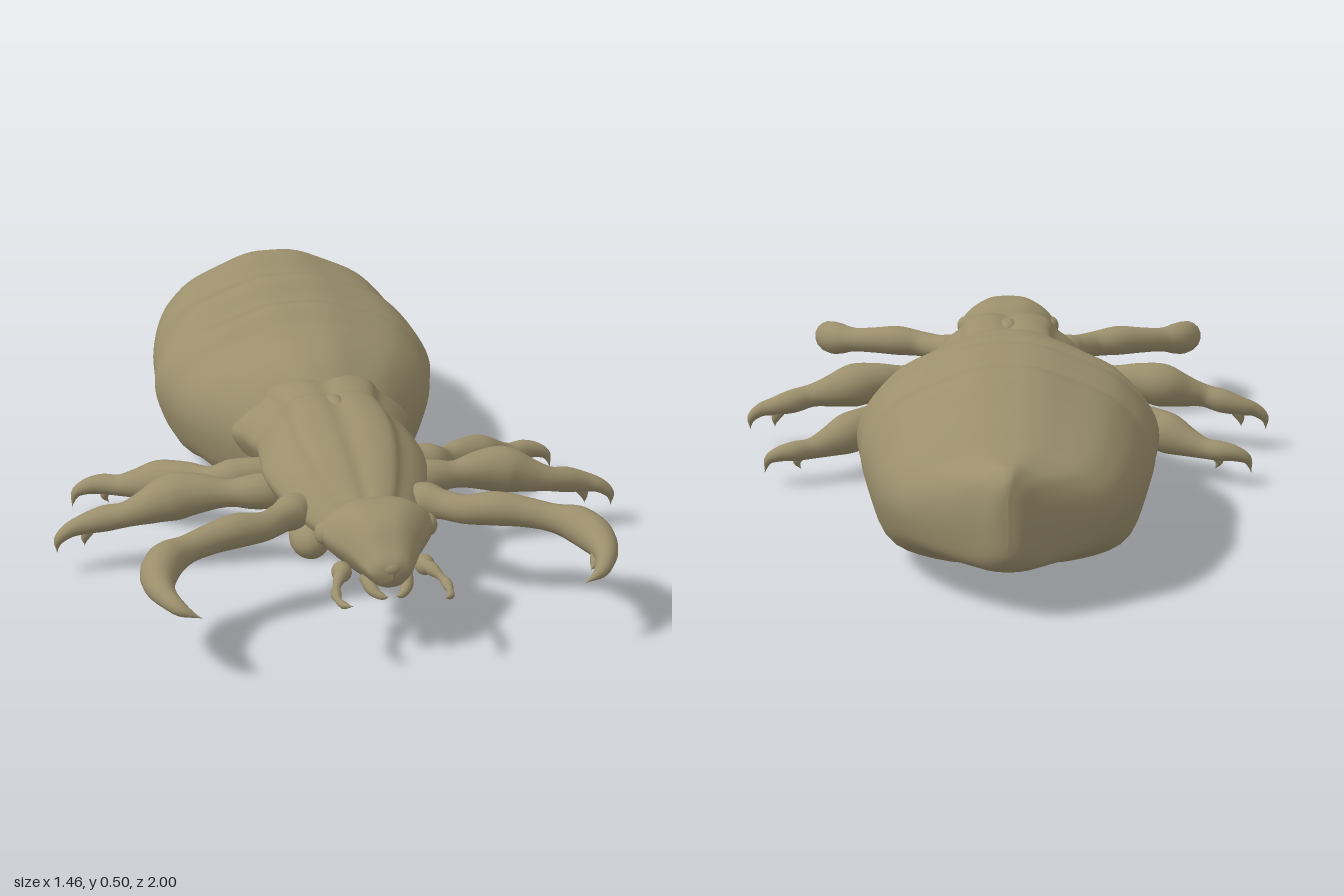
import * as THREE from 'three';
import { mergeVertices } from 'three/addons/utils/BufferGeometryUtils.js';

const chitin = new THREE.MeshStandardMaterial({ color: 0x9b8f6c });
chitin.name = 'olive chitin';

// Smooth value between rows of numbers (Catmull-Rom)
function spline(rows, t, k) {
  const last = rows.length - 1;
  const i = Math.min(Math.floor(t), last - 1);
  const f = t - i;
  const p = (n) => rows[Math.max(0, Math.min(last, n))][k];
  const a = p(i - 1), b = p(i), c = p(i + 1), d = p(i + 2);
  return b + 0.5 * f * (c - a + f * (2 * a - 5 * b + 4 * c - d + f * (3 * (b - c) + d - a)));
}

// Body segment: rows of [z, half width, bottom, top], half profile from bottom to top
function loft(name, rows, half, steps = 6, around = 72) {
  const outline = half.concat(half.slice(1, -1).reverse().map(([x, y]) => [-x, y]));
  const ring = new THREE.CatmullRomCurve3(outline.map(([x, y]) => new THREE.Vector3(x, y, 0)), true)
    .getPoints(around).slice(0, around);
  const count = (rows.length - 1) * steps;
  const position = [], index = [];
  for (let i = 0; i <= count; i++) {
    const [z, w, lo, hi] = [0, 1, 2, 3].map((k) => spline(rows, i / steps, k));
    for (const p of ring) {
      position.push(p.x * Math.max(w, 0), (lo + hi) / 2 + p.y * (hi - lo) / 2, z);
    }
  }
  for (let i = 0; i < count; i++) {
    for (let j = 0; j < around; j++) {
      const a = i * around + j, b = i * around + (j + 1) % around;
      index.push(a, b, a + around, b, b + around, a + around);
    }
  }
  const g = new THREE.BufferGeometry();
  g.setAttribute('position', new THREE.Float32BufferAttribute(position, 3));
  g.setIndex(index);
  g.computeVertexNormals();
  return named(name, g);
}

// Limb of varying thickness: points of [x, y, z, radius]
function limb(name, points, side, sides = 16) {
  const curve = new THREE.CatmullRomCurve3(points.map(([x, y, z]) => new THREE.Vector3(x * side, y, z)));
  const segments = points.length * 6;
  let g = new THREE.TubeGeometry(curve, segments, 1, sides);
  const pos = g.attributes.position, v = new THREE.Vector3();
  for (let i = 0; i <= segments; i++) {
    const centre = curve.getPointAt(i / segments);
    const t = curve.getUtoTmapping(i / segments) * (points.length - 1);
    const r = Math.max(0.0005, spline(points, t, 3));
    for (let j = 0; j <= sides; j++) {
      const n = i * (sides + 1) + j;
      v.fromBufferAttribute(pos, n).sub(centre).multiplyScalar(r).add(centre);
      pos.setXYZ(n, v.x, v.y, v.z);
    }
  }
  g.deleteAttribute('uv');
  g.deleteAttribute('normal');
  g = mergeVertices(g, 1e-5);
  g.computeVertexNormals();
  return named(name, g);
}

function named(name, geometry) {
  const mesh = new THREE.Mesh(geometry, chitin);
  mesh.name = name;
  return mesh;
}

function blob(name, x, y, z, rx, ry, rz) {
  const mesh = named(name, new THREE.SphereGeometry(1, 20, 14));
  mesh.position.set(x, y, z);
  mesh.scale.set(rx, ry, rz);
  return mesh;
}

export function createModel() {
  const model = new THREE.Group();
  model.name = 'louse';

  // Swollen, ringed abdomen
  model.add(loft('abdomen', [
    [-1, 0, 0.2, 0.3], [-0.992, 0.035, 0.155, 0.345], [-0.96, 0.085, 0.12, 0.37], [-0.91, 0.165, 0.11, 0.373],
    [-0.85, 0.24, 0.105, 0.38], [-0.78, 0.285, 0.08, 0.415], [-0.7, 0.315, 0.045, 0.455],
    [-0.62, 0.335, 0.018, 0.495], [-0.56, 0.348, 0.02, 0.5], [-0.48, 0.362, 0.045, 0.474],
    [-0.37, 0.372, 0.01, 0.506], [-0.28, 0.383, 0.042, 0.468], [-0.2, 0.365, 0.025, 0.483],
    [-0.12, 0.343, 0.045, 0.45], [-0.03, 0.305, 0.047, 0.45], [0.05, 0.255, 0.06, 0.43],
    [0.11, 0.21, 0.08, 0.395], [0.17, 0.16, 0.11, 0.34], [0.22, 0, 0.2, 0.25],
  ], [[0, -1], [0.5, -0.95], [0.84, -0.76], [0.97, -0.36], [1, -0.02], [0.95, 0.25], [0.86, 0.45],
    [0.7, 0.67], [0.44, 0.85], [0.2, 0.98], [0, 1]]));

  // Thorax with a raised back plate
  model.add(loft('thorax', [
    [-0.04, 0, 0.2, 0.25], [0, 0.2, 0.1, 0.36], [0.08, 0.235, 0.075, 0.385], [0.15, 0.215, 0.085, 0.398],
    [0.2, 0.2, 0.095, 0.39], [0.24, 0.195, 0.1, 0.4], [0.32, 0.203, 0.11, 0.402], [0.4, 0.207, 0.11, 0.385],
    [0.48, 0.19, 0.11, 0.368], [0.55, 0.165, 0.11, 0.342], [0.62, 0.13, 0.122, 0.305], [0.66, 0.09, 0.15, 0.28],
    [0.68, 0, 0.21, 0.23],
  ], [[0, -1], [0.4, -0.94], [0.7, -0.6], [0.95, -0.1], [1, 0.15], [0.85, 0.45], [0.66, 0.68],
    [0.55, 0.88], [0.4, 0.97], [0.2, 1], [0, 0.95]]));
  model.add(blob('backTubercle', 0, 0.385, 0.265, 0.024, 0.018, 0.045));

  // Angular head
  model.add(loft('head', [
    [0.6, 0, 0.22, 0.25], [0.62, 0.08, 0.18, 0.275], [0.67, 0.1, 0.18, 0.3], [0.71, 0.125, 0.175, 0.325],
    [0.75, 0.143, 0.17, 0.338], [0.8, 0.122, 0.168, 0.338], [0.85, 0.088, 0.17, 0.32], [0.89, 0.065, 0.178, 0.285],
    [0.92, 0.045, 0.19, 0.258], [0.932, 0, 0.215, 0.235],
  ], [[0, -1], [0.45, -0.88], [0.8, -0.45], [1, 0.05], [0.9, 0.4], [0.7, 0.72], [0.4, 0.95], [0, 1]]));
  model.add(blob('snout', 0, 0.235, 0.905, 0.03, 0.022, 0.028));

  for (const side of [1, -1]) {
    const s = side > 0 ? 'left' : 'right';
    model.add(blob(s + 'Eye', side * 0.125, 0.26, 0.75, 0.024, 0.028, 0.03));
    model.add(blob(s + 'Cheek', side * 0.1, 0.195, 0.83, 0.024, 0.024, 0.03));
    model.add(blob(s + 'ThroatLobe', side * 0.125, 0.165, 0.57, 0.05, 0.05, 0.07));
    model.add(limb(s + 'Jaw', [[0.045, 0.19, 0.86, 0.02], [0.04, 0.175, 0.9, 0.014], [0.02, 0.168, 0.925, 0.007],
      [0.008, 0.17, 0.93, 0]], side, 10));
    model.add(limb(s + 'Feeler', [[0.09, 0.2, 0.83, 0.015], [0.112, 0.197, 0.865, 0.016], [0.125, 0.19, 0.895, 0.009],
      [0.132, 0.185, 0.92, 0.013], [0.132, 0.182, 0.95, 0.008], [0.125, 0.185, 0.98, 0.009], [0.108, 0.19, 1, 0]], side, 10));

    // Front leg, hooked forward and inward
    model.add(limb(s + 'FrontLeg', [[0.1, 0.235, 0.53, 0.03], [0.165, 0.235, 0.565, 0.045], [0.2, 0.235, 0.595, 0.037],
      [0.25, 0.235, 0.635, 0.036], [0.32, 0.24, 0.655, 0.042], [0.39, 0.235, 0.68, 0.037], [0.45, 0.228, 0.71, 0.035],
      [0.5, 0.222, 0.745, 0.046], [0.527, 0.215, 0.8, 0.045], [0.532, 0.21, 0.86, 0.034], [0.52, 0.205, 0.91, 0.024],
      [0.495, 0.195, 0.95, 0.016], [0.452, 0.18, 0.972, 0]], side));
    model.add(limb(s + 'FrontThumb', [[0.525, 0.2, 0.85, 0.02], [0.505, 0.185, 0.88, 0.014], [0.488, 0.175, 0.9, 0]], side, 8));

    // Middle leg, straight out
    model.add(limb(s + 'MiddleLeg', [[0.13, 0.21, 0.39, 0.035], [0.2, 0.212, 0.385, 0.045], [0.24, 0.21, 0.378, 0.043],
      [0.29, 0.208, 0.37, 0.035], [0.36, 0.205, 0.35, 0.05], [0.43, 0.195, 0.338, 0.06], [0.5, 0.175, 0.345, 0.043],
      [0.55, 0.162, 0.348, 0.032], [0.6, 0.15, 0.335, 0.033], [0.65, 0.137, 0.33, 0.026], [0.69, 0.125, 0.334, 0.019],
      [0.718, 0.1, 0.336, 0.012], [0.722, 0.068, 0.336, 0]], side));
    model.add(limb(s + 'MiddleThumb', [[0.635, 0.13, 0.33, 0.018], [0.65, 0.1, 0.33, 0.011], [0.652, 0.078, 0.33, 0]], side, 8));

    // Hind leg, swept back
    model.add(limb(s + 'HindLeg', [[0.13, 0.2, 0.24, 0.035], [0.22, 0.19, 0.225, 0.042], [0.265, 0.18, 0.218, 0.046],
      [0.31, 0.165, 0.185, 0.034], [0.37, 0.15, 0.135, 0.046], [0.43, 0.13, 0.095, 0.055], [0.49, 0.112, 0.06, 0.038],
      [0.53, 0.103, 0.04, 0.028], [0.57, 0.102, 0.022, 0.027], [0.61, 0.096, 0.016, 0.021], [0.64, 0.08, 0.016, 0.013],
      [0.652, 0.042, 0.02, 0]], side));
    model.add(limb(s + 'HindThumb', [[0.56, 0.09, 0.025, 0.016], [0.565, 0.07, 0.026, 0.011], [0.555, 0.05, 0.028, 0]], side, 8));
  }
  return model;
}
